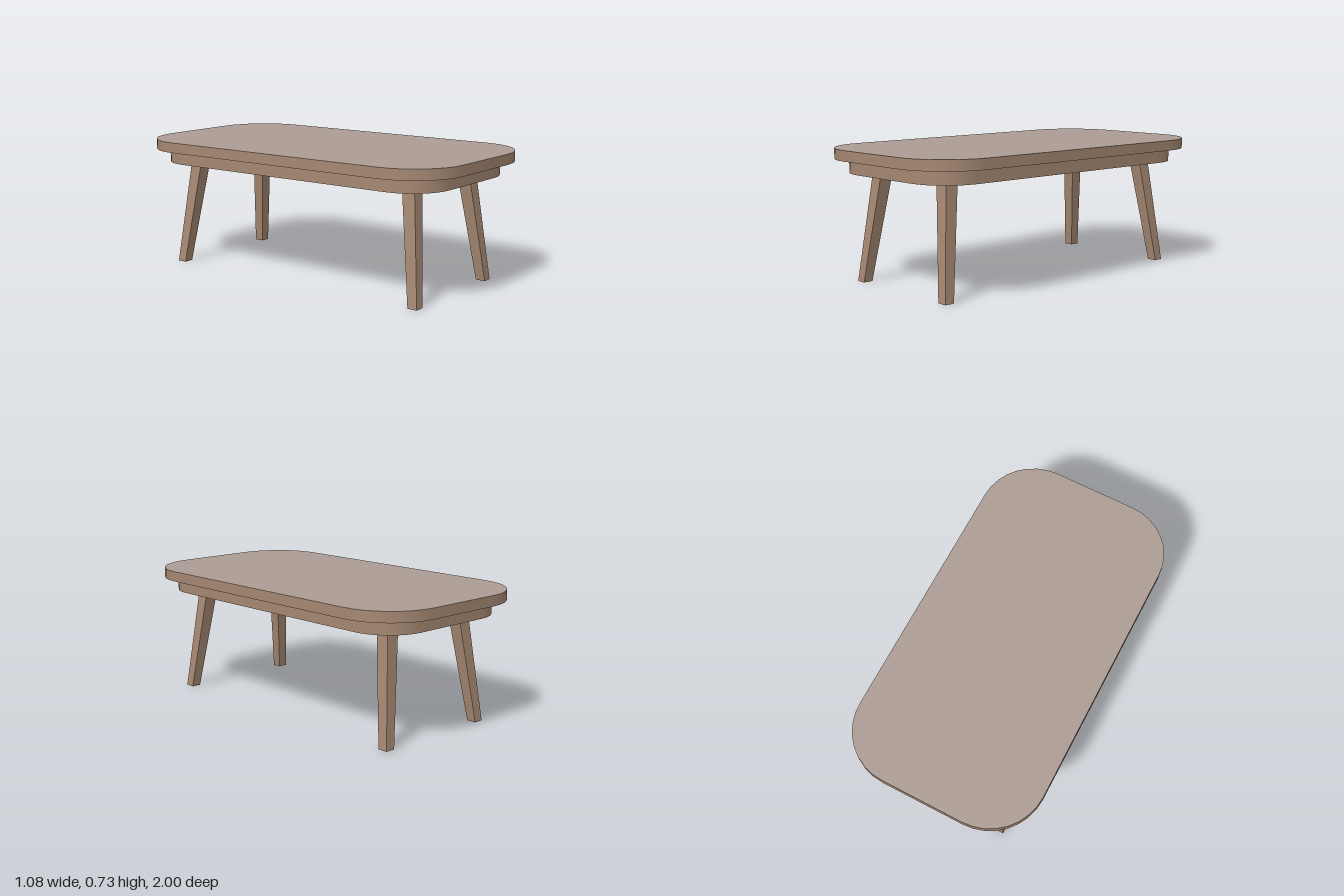
import * as THREE from 'three';
import { toCreasedNormals } from 'three/addons/utils/BufferGeometryUtils.js';

const mat = (name, color) => {
  const m = new THREE.MeshStandardMaterial({ color });
  m.name = name;
  return m;
};

// Rectangle with corners of radius r, given by its half sizes
function roundedOutline(hx, hz, r) {
  const s = new THREE.Shape();
  const cx = hx - r, cz = hz - r, q = Math.PI / 2;
  s.absarc(cx, cz, r, 0, q);
  s.absarc(-cx, cz, r, q, 2 * q);
  s.absarc(-cx, -cz, r, 2 * q, 3 * q);
  s.absarc(cx, -cz, r, 3 * q, 4 * q);
  s.closePath();
  return s;
}

// Horizontal slab with smooth rounded sides and sharp rims
function slab(hx, hz, r, y0, y1) {
  const g = new THREE.ExtrudeGeometry(roundedOutline(hx, hz, r), {
    depth: y1 - y0, bevelEnabled: false, curveSegments: 4,
  });
  g.rotateX(-Math.PI / 2).translate(0, y0, 0);
  return toCreasedNormals(g, Math.PI / 6);
}

// Square leg that tapers and splays outward towards the floor
function legGeometry(sx, sz) {
  const height = 0.6;
  const g = new THREE.BoxGeometry(1, height, 1).translate(0, height / 2, 0);
  const p = g.attributes.position;
  for (let i = 0; i < p.count; i++) {
    const t = p.getY(i) / height;
    const width = THREE.MathUtils.lerp(0.055, 0.075, t);
    p.setX(i, sx * THREE.MathUtils.lerp(0.346, 0.27, t) + p.getX(i) * width);
    p.setZ(i, sz * THREE.MathUtils.lerp(0.808, 0.732, t) + p.getZ(i) * width);
  }
  g.computeVertexNormals();
  return g;
}

export function createModel() {
  const group = new THREE.Group();
  group.name = 'coffeeTable';
  const wood = mat('brown wood', 0xa58872);
  const surface = mat('pale top surface', 0xac9d94);

  const add = (name, geometry, material) => {
    const mesh = new THREE.Mesh(geometry, material);
    mesh.name = name;
    group.add(mesh);
  };

  // Table top, its pale upper face and the apron below
  add('tableTop', slab(0.538, 1, 0.305, 0.675, 0.732), wood);
  const face = new THREE.ShapeGeometry(roundedOutline(0.538, 1, 0.305), 4);
  add('topSurface', face.rotateX(-Math.PI / 2).translate(0, 0.733, 0), surface);
  add('apron', slab(0.461, 0.923, 0.228, 0.598, 0.675), wood);

  // Four splayed legs
  for (const [end, sz] of [['front', 1], ['back', -1]]) {
    for (const [side, sx] of [['Left', 1], ['Right', -1]]) {
      add(end + side + 'Leg', legGeometry(sx, sz), wood);
    }
  }
  return group;
}
